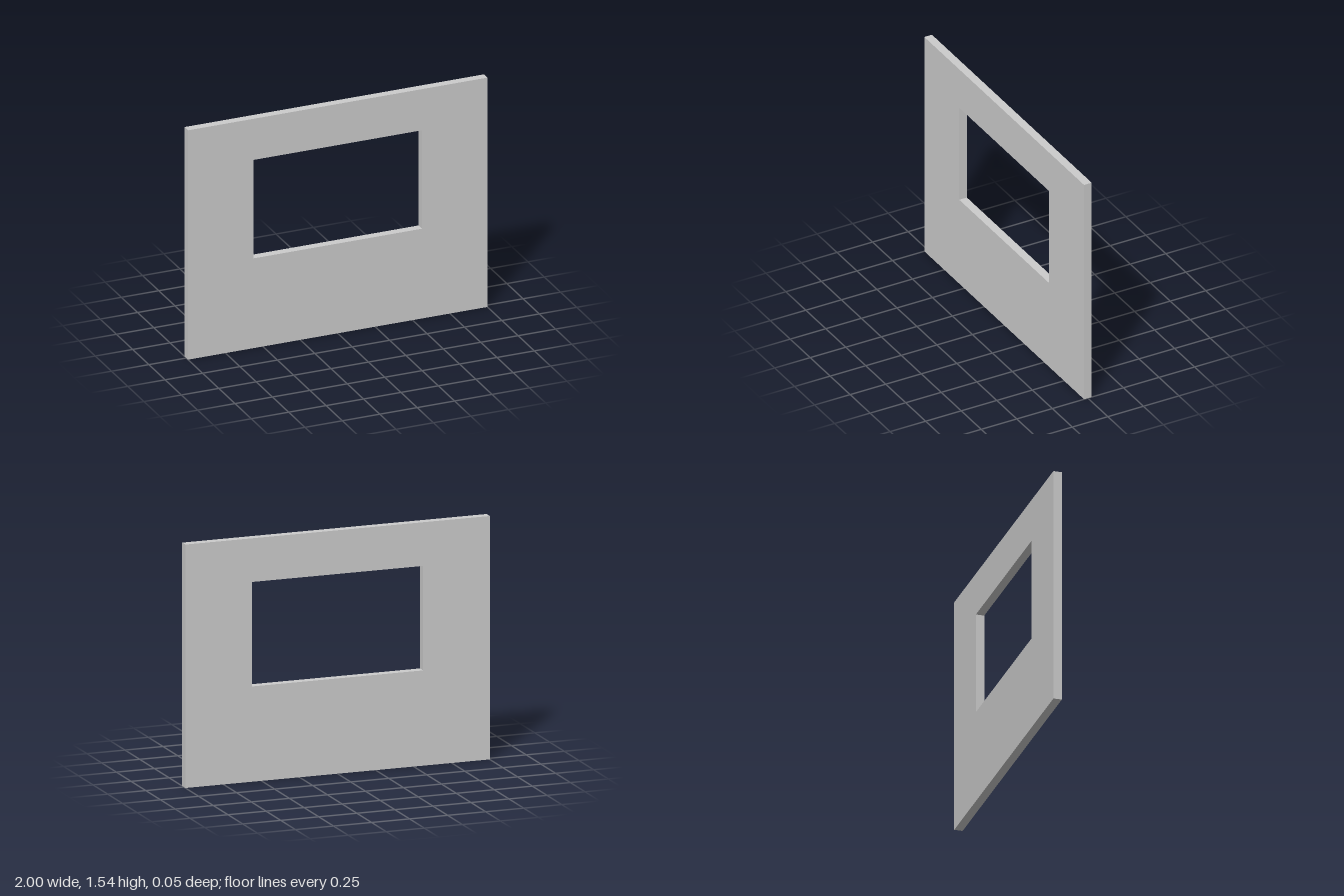
import * as THREE from 'three';

const WIDTH = 2, HEIGHT = 1.538, DEPTH = 0.054;
const OPENING = { left: -0.5625, right: 0.5625, bottom: 0.602, top: 1.262 };

// Trace a rectangle on a shape or path
function rectangle(path, x0, y0, x1, y1) {
  path.moveTo(x0, y0);
  path.lineTo(x1, y0);
  path.lineTo(x1, y1);
  path.lineTo(x0, y1);
  path.closePath();
  return path;
}

export function createModel() {
  const group = new THREE.Group();
  group.name = 'wallWithWindowOpening';

  // Wall panel with a rectangular window opening
  const outline = rectangle(new THREE.Shape(), -WIDTH / 2, 0, WIDTH / 2, HEIGHT);
  outline.holes.push(rectangle(new THREE.Path(), OPENING.left, OPENING.bottom, OPENING.right, OPENING.top));
  const geometry = new THREE.ExtrudeGeometry(outline, { depth: DEPTH, bevelEnabled: false });
  geometry.translate(0, 0, -DEPTH / 2);

  const wall = new THREE.Mesh(geometry, new THREE.MeshStandardMaterial({ color: 0xcccccc }));
  wall.name = 'wall';
  group.add(wall);
  return group;
}
